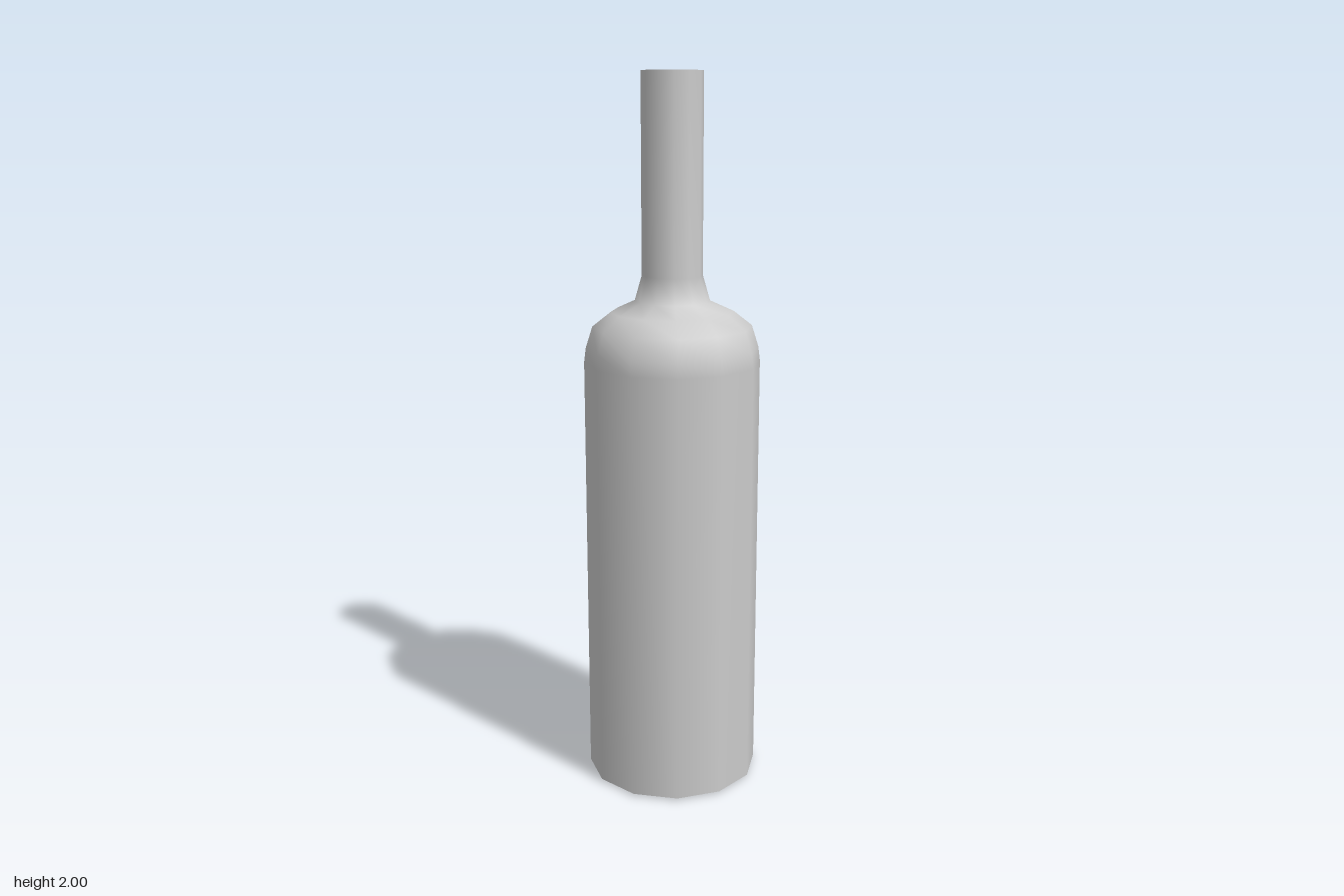
import * as THREE from 'three';

const SIDES = 12;

export function createModel() {
  const bottle = new THREE.Group();
  bottle.name = 'bottle';
  const glass = new THREE.MeshStandardMaterial({ color: 0xcccccc });

  // Revolves a [radius, height] profile, listed from the bottom up
  const addLathe = (name, profile) => {
    const points = profile.map(([r, y]) => new THREE.Vector2(r, y));
    const mesh = new THREE.Mesh(new THREE.LatheGeometry(points, SIDES), glass);
    mesh.name = name;
    bottle.add(mesh);
  };

  // Hollowed underside with a narrow standing rim
  addLathe('base', [[0, 0.045], [0.09, 0.04], [0.165, 0.027], [0.2, 0], [0.225, 0], [0.245, 0.006]]);

  // Straight wall, rounded shoulder and slim neck
  addLathe('bodyAndNeck', [
    [0.245, 0.006], [0.245, 1.22], [0.24, 1.26], [0.221, 1.32],
    [0.17, 1.36], [0.104, 1.39], [0.084, 1.46], [0.084, 2],
  ]);

  // Flat closed top
  addLathe('mouth', [[0.084, 2], [0, 2]]);

  return bottle;
}
